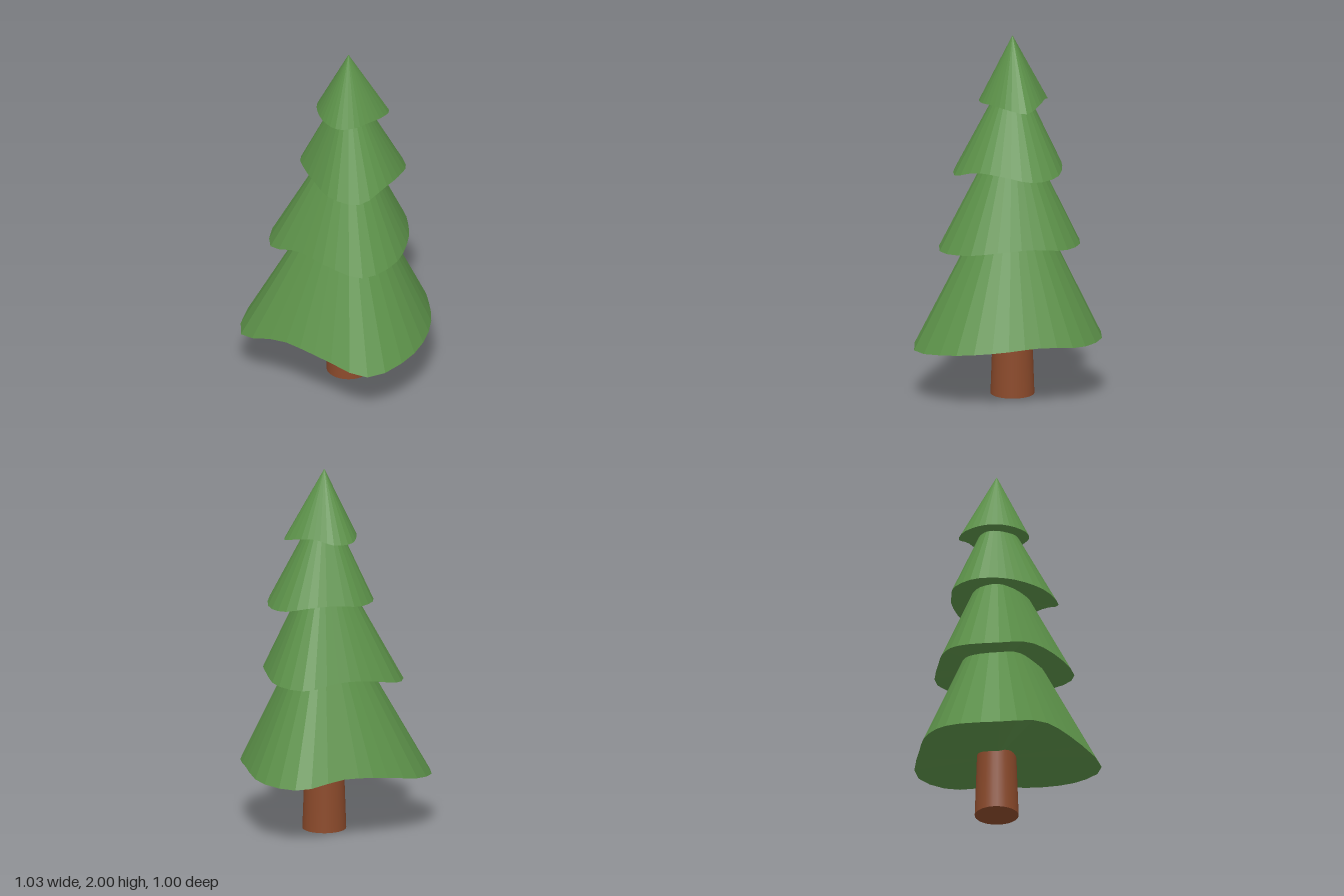
import * as THREE from 'three';

const SIDES = 32;
const AXIS = [0.075, -0.06]; // x, z of the trunk line

// Each tier: apex height, then rim radius and rim height every 30 degrees,
// starting at +x and turning toward +z.
const TIERS = [
  { name: 'lowestBranches', apex: 1.32,
    r: [0.437, 0.464, 0.516, 0.563, 0.467, 0.471, 0.587, 0.535, 0.442, 0.414, 0.49, 0.481],
    y: [0.37, 0.355, 0.325, 0.295, 0.35, 0.368, 0.282, 0.315, 0.365, 0.38, 0.34, 0.345] },
  { name: 'lowerBranches', apex: 1.6,
    r: [0.324, 0.338, 0.384, 0.417, 0.36, 0.346, 0.425, 0.41, 0.333, 0.313, 0.37, 0.364],
    y: [0.888, 0.88, 0.853, 0.835, 0.868, 0.885, 0.825, 0.838, 0.882, 0.89, 0.86, 0.865] },
  { name: 'upperBranches', apex: 1.85,
    r: [0.313, 0.29, 0.3, 0.332, 0.297, 0.243, 0.238, 0.273, 0.267, 0.242, 0.27, 0.312],
    y: [1.26, 1.29, 1.298, 1.25, 1.265, 1.29, 1.295, 1.285, 1.285, 1.3, 1.295, 1.265] },
  { name: 'topBranches', apex: 2,
    r: [0.222, 0.187, 0.166, 0.173, 0.182, 0.17, 0.165, 0.18, 0.208, 0.202, 0.174, 0.19],
    y: [1.62, 1.637, 1.645, 1.638, 1.633, 1.64, 1.645, 1.64, 1.625, 1.627, 1.65, 1.645] },
];

// Cone with a wavy rim and a closed underside
function tierGeometry({ apex, r, y }) {
  const knots = r.map((radius, i) => {
    const a = (i / r.length) * Math.PI * 2;
    return new THREE.Vector3(Math.cos(a) * radius, y[i], Math.sin(a) * radius);
  });
  const rim = new THREE.CatmullRomCurve3(knots, true);
  const top = new THREE.Vector3(0, apex, 0);
  const middle = new THREE.Vector3(0, y.reduce((s, v) => s + v, 0) / y.length, 0);
  const points = [];
  for (let i = 0; i < SIDES; i++) {
    const a = rim.getPoint(i / SIDES);
    const b = rim.getPoint(((i + 1) % SIDES) / SIDES);
    points.push(top, b, a, middle, a, b);
  }
  const geometry = new THREE.BufferGeometry().setFromPoints(points);
  geometry.computeVertexNormals();
  return geometry;
}

export function createModel() {
  const tree = new THREE.Group();
  tree.name = 'firTree';
  const green = new THREE.MeshStandardMaterial({ color: 0x5c9149, flatShading: true });
  const brown = new THREE.MeshStandardMaterial({ color: 0x8b4a2b });

  // Tapered trunk, ending inside the lowest tier
  const trunk = new THREE.Mesh(new THREE.CylinderGeometry(0.104, 0.118, 0.4, SIDES), brown);
  trunk.name = 'trunk';
  trunk.position.set(AXIS[0], 0.2, AXIS[1]);
  tree.add(trunk);

  // Stacked branch tiers
  for (const tier of TIERS) {
    const mesh = new THREE.Mesh(tierGeometry(tier), green);
    mesh.name = tier.name;
    mesh.position.set(AXIS[0], 0, AXIS[1]);
    tree.add(mesh);
  }
  return tree;
}
